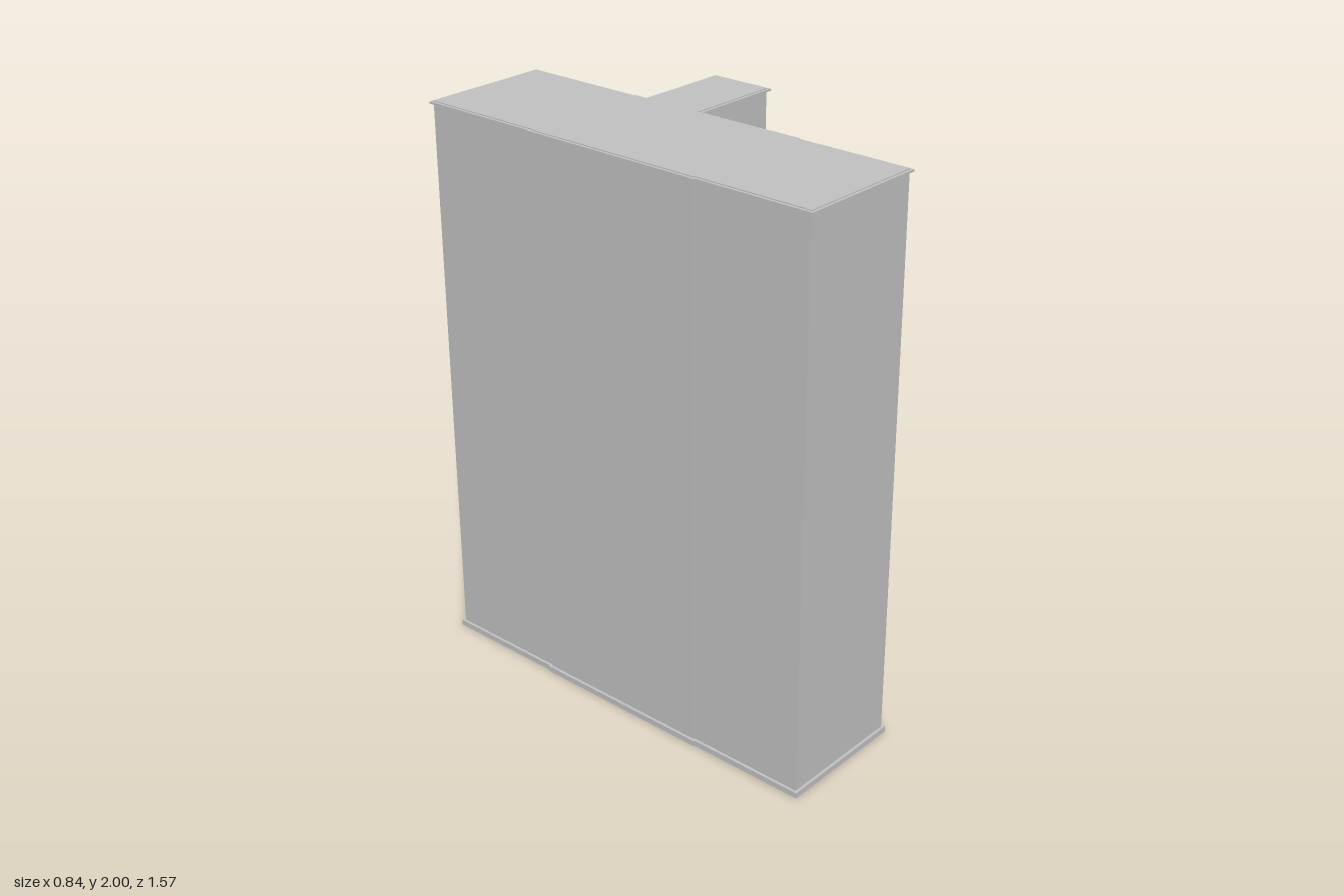
import * as THREE from 'three';

const wallMat = new THREE.MeshStandardMaterial({ name: 'wallGrey', color: 0xc0c0c0 });

function box(parent, name, w, h, d, x, y, z) {
  const m = new THREE.Mesh(new THREE.BoxGeometry(w, h, d), wallMat);
  m.name = name;
  m.position.set(x, y, z);
  parent.add(m);
  return m;
}

// T-shaped plan with a slightly thicker middle section, grown outward by o
function plan(o) {
  const pts = [
    [-0.405 - o, 0.775 + o], [0.06 + o, 0.775 + o], [0.06 + o, 0.345 + o], [0.065 + o, 0.345 + o],
    [0.065 + o, -0.05 + o], [0.41 + o, -0.05 + o], [0.41 + o, -0.27 - o], [0.065 + o, -0.27 - o],
    [0.065 + o, -0.32 - o], [0.06 + o, -0.32 - o], [0.06 + o, -0.775 - o], [-0.405 - o, -0.775 - o],
    [-0.405 - o, -0.32 - o], [-0.41 - o, -0.32 - o], [-0.41 - o, 0.345 + o], [-0.405 - o, 0.345 + o],
  ];
  return new THREE.Shape(pts.map(([x, z]) => new THREE.Vector2(x, -z)));
}

function storey(parent, name, o, y0, y1) {
  const g = new THREE.ExtrudeGeometry(plan(o), { depth: y1 - y0, bevelEnabled: false });
  g.rotateX(-Math.PI / 2);
  const m = new THREE.Mesh(g, wallMat);
  m.name = name;
  m.position.y = y0;
  parent.add(m);
}

// Frame bars on a wall facing +x
function frame(name, x, y, z, w, h, t, cross) {
  const g = new THREE.Group();
  g.name = name;
  g.position.set(x, y, z);
  const p = 0.008;
  for (const s of [-1, 1]) {
    box(g, 'frameSide', p, h, t, 0, 0, s * (w - t) / 2);
    box(g, 'frameRail', p, t, w - 2 * t, 0, s * (h - t) / 2, 0);
  }
  box(g, 'crossRail', p, t, w - 2 * t, 0, 0, 0);
  if (cross) box(g, 'mullion', p, h - 2 * t, t, 0, 0, 0);
  return g;
}

export function createModel() {
  const model = new THREE.Group();
  model.name = 'apartmentBlock';
  storey(model, 'plinth', 0.01, 0, 0.02);
  storey(model, 'walls', 0, 0.02, 1.99);
  storey(model, 'eaves', 0.01, 1.99, 1.997);
  storey(model, 'roof', 0, 1.997, 2);

  // Panel joints on the long facade, following the wall step
  const joints = new THREE.Group();
  joints.name = 'facadeJoints';
  model.add(joints);
  const sections = [[0.065, -0.04, 0.345], [0.06, 0.345, 0.77]];
  for (const [x, z0, z1] of sections) {
    for (let i = 0; i < 6; i++) {
      box(joints, 'panelJoint', 0.003, 0.005, z1 - z0, x, 0.19 + i * 0.328, (z0 + z1) / 2);
      if (i < 5) box(joints, 'floorBand', 0.005, 0.012, z1 - z0, x, 0.35 + i * 0.328, (z0 + z1) / 2);
    }
  }
  for (const z of [0.05, 0.2, 0.5, 0.65]) {
    box(joints, 'verticalJoint', 0.003, 1.95, 0.004, z < 0.345 ? 0.065 : 0.06, 1, z);
  }

  // Stair tower windows and entrance door
  for (let i = 0; i < 5; i++) {
    model.add(frame('towerWindow', 0.41, 0.505 + i * 0.33, -0.155, 0.085, 0.085, 0.007, true));
  }
  model.add(frame('entranceDoor', 0.41, 0.12, -0.155, 0.08, 0.2, 0.007, true));

  // Balconies with a doorway behind an open railing
  const dark = new THREE.MeshStandardMaterial({ name: 'darkOpening', color: 0x767676 });
  for (let i = 0; i < 5; i++) {
    for (const z of [-0.435, -0.665]) {
      const b = new THREE.Group();
      b.name = 'balcony';
      b.position.set(0.06, 0.47 + i * 0.33, z);
      model.add(b);
      box(b, 'slab', 0.07, 0.01, 0.092, 0.035, 0.005, 0);
      box(b, 'doorway', 0.006, 0.05, 0.078, 0.002, 0.035, 0).material = dark;
      box(b, 'frontRail', 0.004, 0.004, 0.086, 0.066, 0.06, 0);
      for (const s of [-1, 1]) {
        box(b, 'sideRail', 0.066, 0.004, 0.004, 0.033, 0.06, s * 0.042);
        for (const x of [0.033, 0.066]) box(b, 'post', 0.004, 0.05, 0.004, x, 0.035, s * 0.042);
      }
      box(b, 'middlePost', 0.004, 0.05, 0.004, 0.066, 0.035, 0);
    }
  }
  return model;
}
